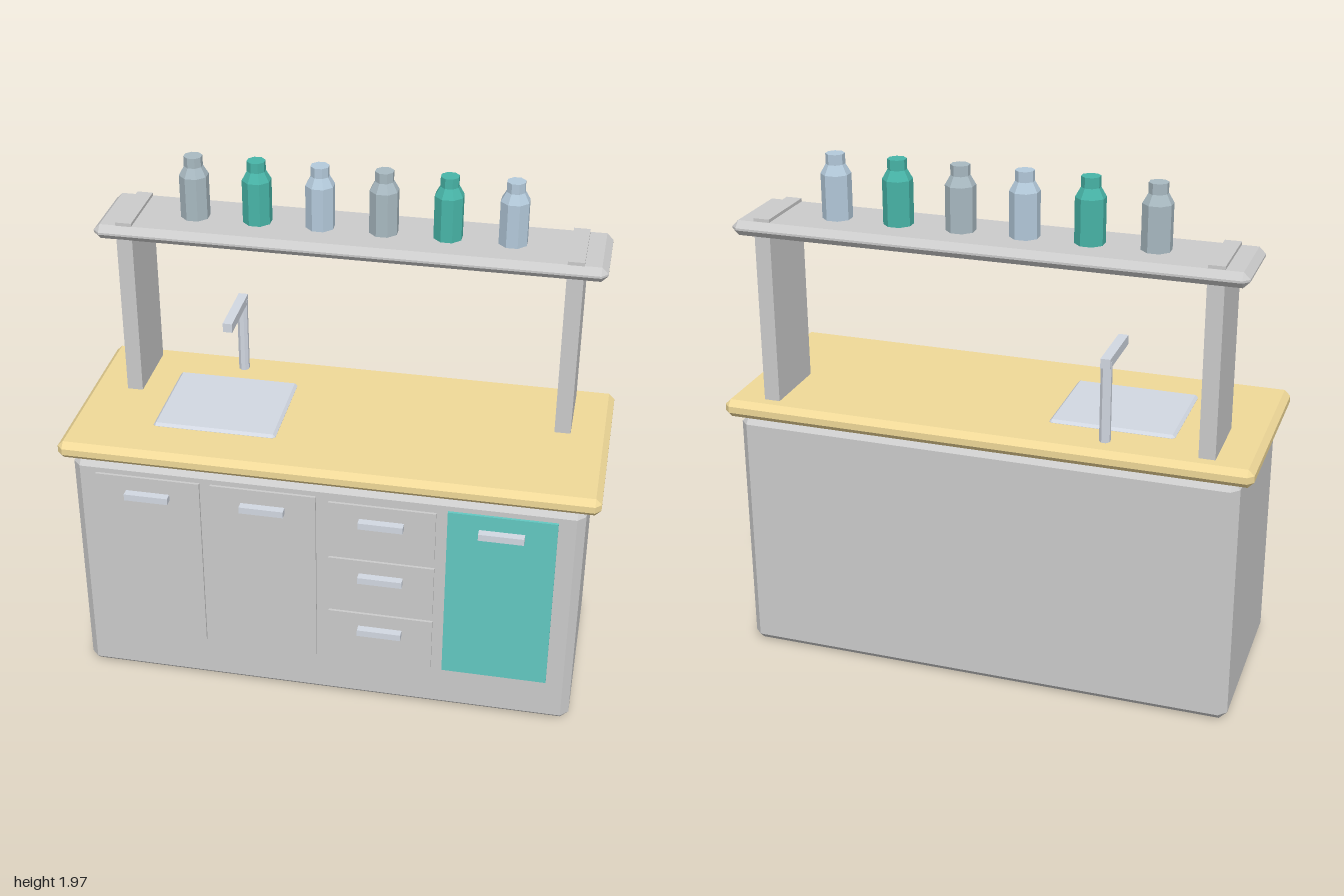
import * as THREE from 'three';
import { ConvexGeometry } from 'three/addons/geometries/ConvexGeometry.js';

const mat = (color) => new THREE.MeshStandardMaterial({ color, flatShading: true });
const GREY = mat(0xcccccc), TEAL = mat(0x62c8c2), WOOD = mat(0xf0d998), STEEL = mat(0xd2d8e2);
const BOTTLES = [mat(0xa9bac2), mat(0x48b5a8), mat(0xb4cadb)];

// Box given by its min and max corners, optionally with chamfered edges
function block(parent, name, material, [x0, y0, z0], [x1, y1, z1], bevel = 0) {
  const half = [(x1 - x0) / 2, (y1 - y0) / 2, (z1 - z0) / 2];
  let geometry;
  if (bevel) {
    const points = [];
    for (const sx of [-1, 1]) for (const sy of [-1, 1]) for (const sz of [-1, 1])
      for (let axis = 0; axis < 3; axis++) {
        const p = half.map((h, i) => (i === axis ? h : h - bevel));
        points.push(new THREE.Vector3(sx * p[0], sy * p[1], sz * p[2]));
      }
    geometry = new ConvexGeometry(points);
  } else {
    geometry = new THREE.BoxGeometry(half[0] * 2, half[1] * 2, half[2] * 2);
  }
  const mesh = new THREE.Mesh(geometry, material);
  mesh.name = name;
  mesh.position.set((x0 + x1) / 2, (y0 + y1) / 2, (z0 + z1) / 2);
  parent.add(mesh);
  return mesh;
}

// Door or drawer front with its bar handle
function frontPanel(parent, name, material, x, y0, y1, handleY) {
  const group = new THREE.Group();
  group.name = name;
  block(group, 'panel', material, [x - 0.198, y0, 0.34], [x + 0.198, y1, 0.37]);
  block(group, 'handle', STEEL, [x - 0.083, handleY - 0.013, 0.36], [x + 0.083, handleY + 0.013, 0.4]);
  parent.add(group);
}

export function createModel() {
  const model = new THREE.Group();
  model.name = 'kitchenCounter';

  // Cabinet and worktop
  block(model, 'cabinet', GREY, [-0.95, 0, -0.375], [0.95, 0.97, 0.36], 0.03);
  block(model, 'worktop', WOOD, [-1, 0.968, -0.397], [1, 1.037, 0.377], 0.022);

  // Doors and drawers
  frontPanel(model, 'leftDoor', GREY, -0.66, 0.19, 0.92, 0.847);
  frontPanel(model, 'middleDoor', GREY, -0.223, 0.19, 0.92, 0.847);
  for (let i = 0; i < 3; i++) {
    const y = 0.19 + i * 0.247;
    frontPanel(model, 'drawer', GREY, 0.22, y, y + 0.222, y + 0.152);
  }
  frontPanel(model, 'colouredDoor', TEAL, 0.658, 0.19, 0.92, 0.847);

  // Sink and tap
  block(model, 'sink', STEEL, [-0.682, 1.02, -0.21], [-0.214, 1.048, 0.188], 0.01);
  const tap = new THREE.Group();
  tap.name = 'tap';
  const column = new THREE.Mesh(new THREE.CylinderGeometry(0.021, 0.021, 0.31, 8), STEEL);
  column.name = 'tapColumn';
  column.rotation.y = Math.PI / 8;
  column.position.set(-0.45, 1.185, -0.3);
  tap.add(column);
  block(tap, 'tapSpout', STEEL, [-0.468, 1.32, -0.32], [-0.432, 1.356, -0.07]);
  model.add(tap);

  // Shelf on two upright boards that pass through it
  for (const side of [-1, 1]) {
    const x = side * 0.825;
    block(model, 'shelfUpright', GREY, [x - 0.03, 1.03, -0.337], [x + 0.03, 1.742, -0.057]);
  }
  block(model, 'shelf', GREY, [-0.94, 1.674, -0.363], [0.94, 1.73, -0.034], 0.024);

  // Octagonal bottles
  const profile = [[0, 0], [0.055, 0], [0.055, 0.165], [0.035, 0.2], [0.035, 0.238], [0, 0.238]]
    .map(([r, y]) => new THREE.Vector2(r, y));
  const bottleGeometry = new THREE.LatheGeometry(profile, 8, Math.PI / 8);
  for (let i = 0; i < 6; i++) {
    const bottle = new THREE.Mesh(bottleGeometry, BOTTLES[i % 3]);
    bottle.name = 'bottle';
    bottle.position.set((i - 2.5) * 0.2355, 1.73, -0.198);
    model.add(bottle);
  }
  return model;
}
